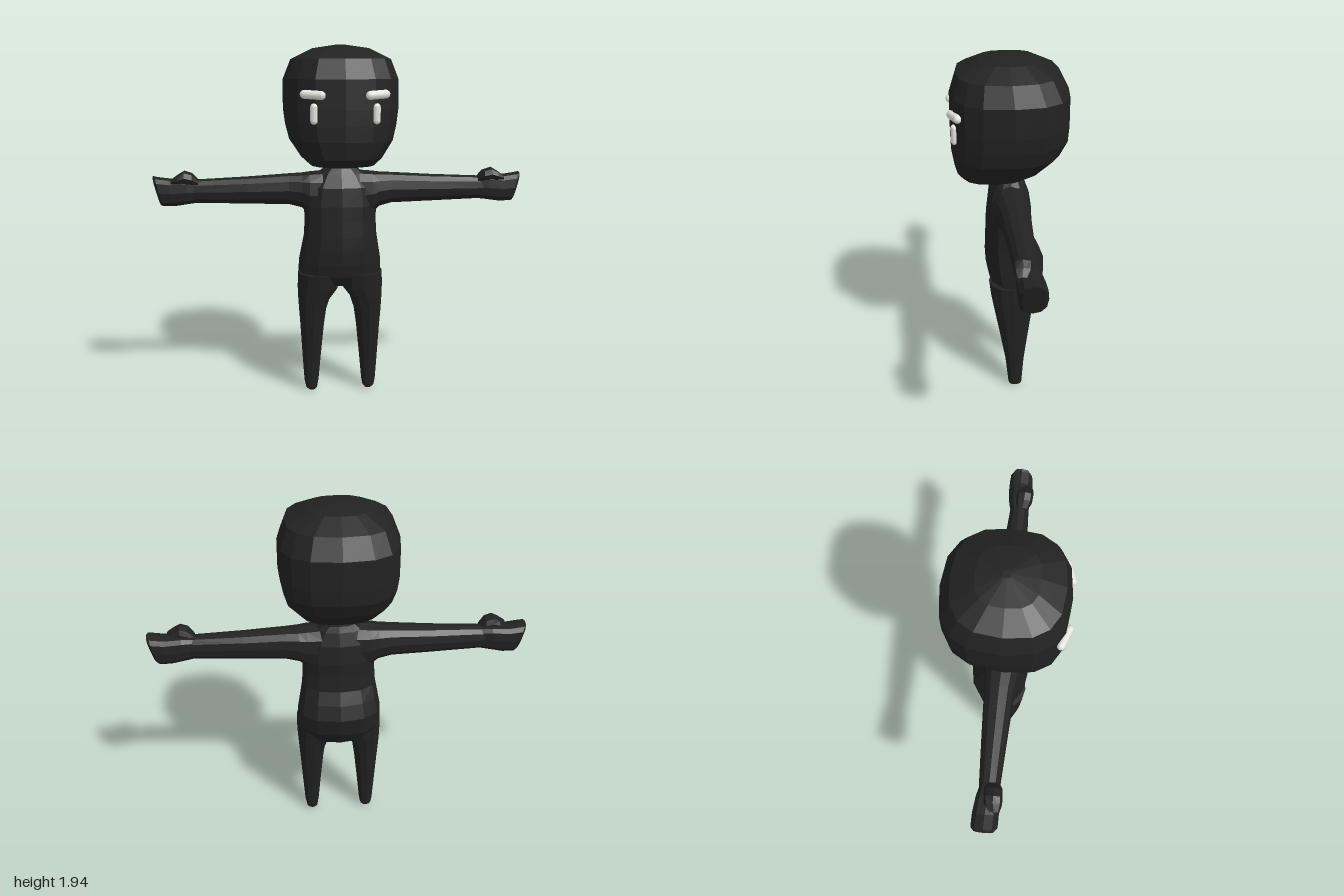
import * as THREE from 'three';

// Superellipse loft. Rings: [t, a0, a1, b0, b1, tilt]; t runs along the axis.
// axis 'y': a = x, b = z.  axis 'x': a = z, b = y.  flip mirrors the part in x.
function loft(rings, { axis = 'y', sides = 12, power = 2.4, flip = false } = {}) {
  const pos = [], index = [];
  const put = (t, a, b) => {
    const p = axis === 'y' ? [a, t, b] : [t, b, a];
    pos.push(flip ? -p[0] : p[0], p[1], p[2]);
  };
  const tri = (a, b, c) => (flip ? index.push(a, c, b) : index.push(a, b, c));
  const curve = (v) => Math.sign(v) * Math.pow(Math.abs(v), 2 / power);
  for (const [t, a0, a1, b0, b1, tilt = 0] of rings) {
    for (let j = 0; j < sides; j++) {
      const th = (j / sides) * Math.PI * 2;
      const a = (a0 + a1) / 2 + ((a1 - a0) / 2) * curve(Math.cos(th));
      const db = ((b1 - b0) / 2) * curve(Math.sin(th));
      put(t + tilt * db, a, (b0 + b1) / 2 + db);
    }
  }
  const last = rings.length - 1;
  for (const r of [rings[0], rings[last]]) put(r[0], (r[1] + r[2]) / 2, (r[3] + r[4]) / 2);
  const bottom = rings.length * sides, top = bottom + 1;
  for (let j = 0; j < sides; j++) {
    const k = (j + 1) % sides;
    for (let i = 0; i < last; i++) {
      const p = i * sides, q = p + sides;
      tri(p + j, q + j, p + k);
      tri(q + j, q + k, p + k);
    }
    tri(bottom, j, k);
    tri(top, last * sides + k, last * sides + j);
  }
  const g = new THREE.BufferGeometry();
  g.setAttribute('position', new THREE.Float32BufferAttribute(pos, 3));
  g.setIndex(index);
  g.computeVertexNormals();
  return g;
}

export function createModel() {
  const model = new THREE.Group();
  const black = new THREE.MeshStandardMaterial({ color: 0x222222, flatShading: true });
  black.name = 'black body';
  const white = new THREE.MeshStandardMaterial({ color: 0xe8e8e2 });
  white.name = 'off-white face';
  const add = (name, geometry, material = black) => {
    const mesh = new THREE.Mesh(geometry, material);
    mesh.name = name;
    model.add(mesh);
    return mesh;
  };

  // Rounded-box head, with the jaw rising towards the back
  add('head', loft([
    [1.31, -0.11, 0.11, -0.05, 0.12],
    [1.33, -0.17, 0.17, -0.1, 0.25],
    [1.37, -0.215, 0.215, -0.17, 0.28],
    [1.46, -0.275, 0.275, -0.26, 0.295],
    [1.54, -0.295, 0.295, -0.3, 0.297],
    [1.62, -0.305, 0.305, -0.305, 0.297],
    [1.77, -0.303, 0.303, -0.303, 0.295],
    [1.87, -0.262, 0.262, -0.25, 0.262],
    [1.925, -0.15, 0.15, -0.14, 0.15],
    [1.945, -0.02, 0.02, -0.02, 0.02],
  ], { sides: 16, power: 2.7 }));

  // Torso with rounded seat and short neck
  add('torso', loft([
    [0.62, -0.2, 0.2, -0.14, 0.08, 0.3],
    [0.69, -0.232, 0.232, -0.185, 0.115, 0.12],
    [0.78, -0.23, 0.23, -0.2, 0.128],
    [0.86, -0.215, 0.215, -0.17, 0.132],
    [0.93, -0.202, 0.202, -0.135, 0.13],
    [1.02, -0.196, 0.196, -0.125, 0.125],
    [1.1, -0.2, 0.2, -0.125, 0.122],
    [1.2, -0.185, 0.185, -0.11, 0.11],
    [1.27, -0.13, 0.13, -0.085, 0.075],
    [1.3, -0.09, 0.09, -0.07, 0.055],
    [1.34, -0.085, 0.085, -0.06, 0.05],
  ]));

  for (const [side, s] of [['left', 1], ['right', -1]]) {
    const flip = s < 0;
    // Tapered leg
    add(side + 'Leg', loft([
      [0.004, 0.145, 0.182, -0.05, 0.0],
      [0.02, 0.132, 0.198, -0.064, 0.014],
      [0.06, 0.125, 0.206, -0.066, 0.018],
      [0.2, 0.112, 0.215, -0.076, 0.032],
      [0.4, 0.092, 0.226, -0.102, 0.066],
      [0.5, 0.078, 0.233, -0.115, 0.084],
      [0.57, 0.055, 0.237, -0.127, 0.097],
      [0.63, 0.01, 0.239, -0.135, 0.108],
      [0.72, 0.0, 0.236, -0.14, 0.118],
    ], { flip }));
    // Arm with a flared shoulder
    add(side + 'Arm', loft([
      [0.08, -0.1, 0.09, 1.02, 1.288],
      [0.17, -0.1, 0.09, 1.045, 1.28],
      [0.21, -0.098, 0.08, 1.082, 1.274],
      [0.28, -0.09, 0.068, 1.1, 1.27],
      [0.5, -0.078, 0.056, 1.107, 1.256],
      [0.79, -0.06, 0.042, 1.117, 1.243],
    ], { axis: 'x', flip }));
    // Mitten hand with a slanted tip
    add(side + 'Hand', loft([
      [0.76, -0.055, 0.038, 1.118, 1.243],
      [0.82, -0.07, 0.046, 1.11, 1.25],
      [0.9, -0.08, 0.05, 1.1, 1.25, 0.2],
      [0.965, -0.08, 0.05, 1.1, 1.26, 0.25],
      [0.98, -0.065, 0.036, 1.105, 1.265, 0.25],
    ], { axis: 'x', flip, power: 3 }));
    // Thumb folded over the top front of the hand
    add(side + 'Thumb', loft([
      [0.76, -0.02, 0.04, 1.215, 1.245],
      [0.79, -0.03, 0.058, 1.215, 1.282],
      [0.83, -0.03, 0.062, 1.22, 1.295],
      [0.865, -0.025, 0.062, 1.22, 1.275],
      [0.9, 0.0, 0.052, 1.225, 1.25],
    ], { axis: 'x', flip, sides: 8 }));
    // Upright eye and flat brow
    const eye = add(side + 'Eye', new THREE.CapsuleGeometry(0.019, 0.066, 4, 10), white);
    eye.scale.z = 0.8;
    eye.position.set(s * 0.157, 1.602, 0.281);
    eye.rotation.y = s * 0.3;
    const browGeometry = new THREE.CapsuleGeometry(0.022, 0.088, 4, 10).rotateZ(Math.PI / 2);
    const brow = add(side + 'Brow', browGeometry, white);
    brow.scale.z = 0.9;
    brow.position.set(s * 0.162, 1.695, 0.277);
    brow.rotation.set(0, s * 0.35, s * 0.06);
  }
  return model;
}
